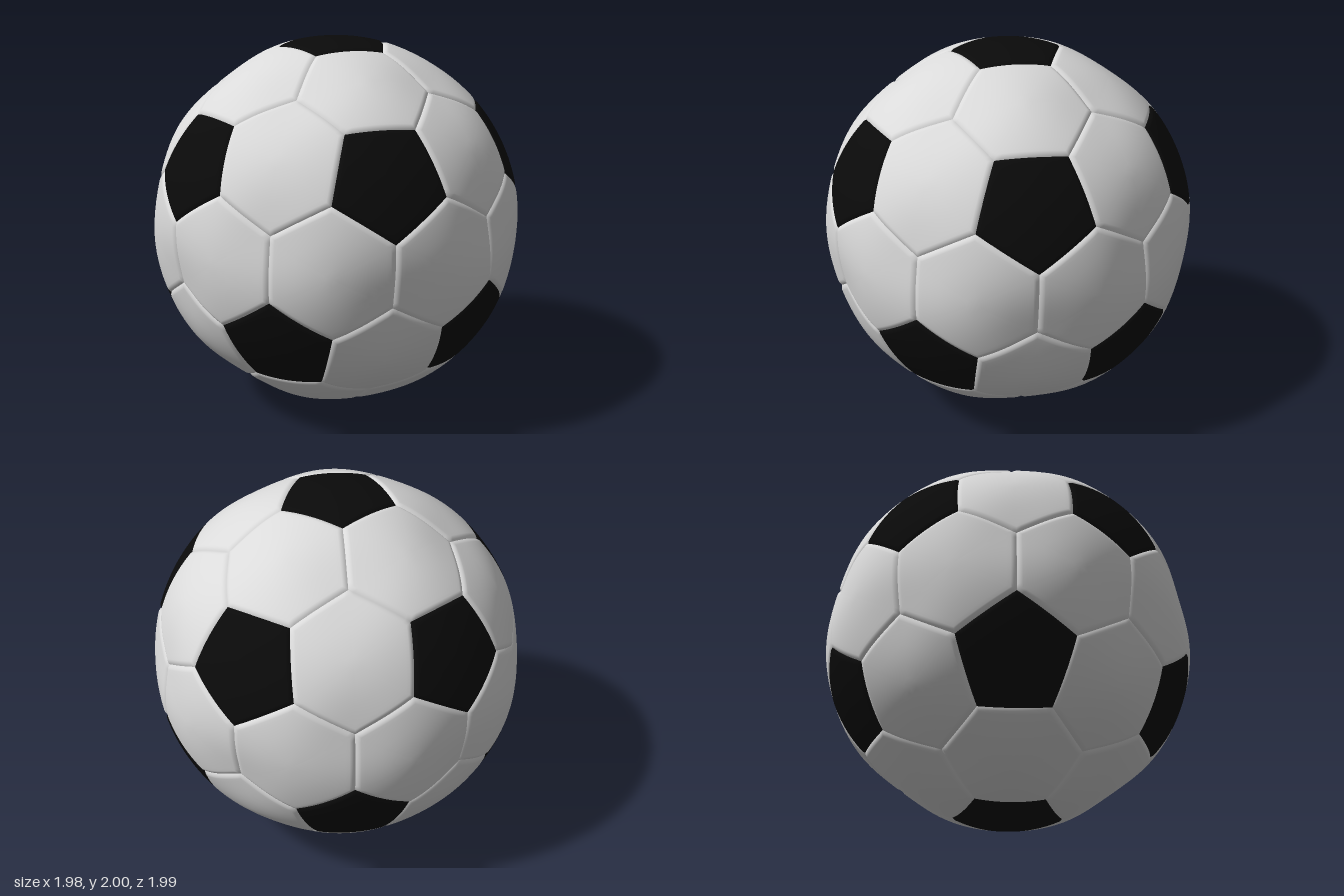
import * as THREE from 'three';

const SEAM_DEPTH = 0.011, SEAM_WIDTH = 0.024, APOTHEM = 0.26;
const PENTAGON_ANGLE = THREE.MathUtils.degToRad(17.9);
const SEGMENTS = 12;
// distances from the seam, as concentric rings running inward
const RINGS = [0, 0.003, 0.007, 0.012, 0.018, 0.024, 0.04, 0.07, 0.11, 0.15, 0.19, 0.23];

// twelve pentagon centres: two poles and two staggered rings of five
function pentagonCentres() {
  const list = [new THREE.Vector3(0, 1, 0), new THREE.Vector3(0, -1, 0)];
  const y = 1 / Math.sqrt(5), r = 2 / Math.sqrt(5);
  for (let i = 0; i < 5; i++) {
    const a = i * Math.PI * 0.4, b = a + Math.PI / 5;
    list.push(new THREE.Vector3(r * Math.cos(a), y, r * Math.sin(a)));
    list.push(new THREE.Vector3(r * Math.cos(b), -y, r * Math.sin(b)));
  }
  return list;
}

const adjacent = (a, b) => Math.abs(a.dot(b) - 1 / Math.sqrt(5)) < 0.01;

// points where three hexagons meet
function hexagonJunctions(c) {
  const list = [];
  for (let i = 0; i < 12; i++)
    for (let j = i + 1; j < 12; j++)
      for (let k = j + 1; k < 12; k++)
        if (adjacent(c[i], c[j]) && adjacent(c[j], c[k]) && adjacent(c[i], c[k]))
          list.push(c[i].clone().add(c[j]).add(c[k]).normalize());
  return list;
}

// corner of the pentagon around centre c, pointing at junction j
function pentagonCorner(c, j) {
  const tangent = j.clone().addScaledVector(c, -j.dot(c)).normalize();
  return c.clone().multiplyScalar(Math.cos(PENTAGON_ANGLE)).addScaledVector(tangent, Math.sin(PENTAGON_ANGLE));
}

// domed panel with its border sunk into the seam
function panelGeometry(centre, corners, junctions) {
  const u = corners[0].clone().addScaledVector(centre, -corners[0].dot(centre)).normalize();
  const v = centre.clone().cross(u);
  const angle = (p) => Math.atan2(p.dot(v), p.dot(u));
  const ordered = [...corners].sort((a, b) => angle(a) - angle(b));
  const count = ordered.length * SEGMENTS;
  const positions = [], index = [];

  const addPoint = (p, distance) => {
    p.normalize();
    let radius = 1;
    // the ball is slightly flatter around the hexagon junctions
    for (const j of junctions) radius -= 0.027 * Math.exp(-((p.angleTo(j) / 0.227) ** 2));
    const s = Math.max(0, 1 - distance / SEAM_WIDTH);
    radius -= SEAM_DEPTH * s * s;
    positions.push(p.x * radius, p.y * radius, p.z * radius);
  };

  for (const d of RINGS)
    for (let i = 0; i < count; i++) {
      const side = Math.floor(i / SEGMENTS);
      const edge = ordered[side].clone().lerp(ordered[(side + 1) % ordered.length], (i % SEGMENTS) / SEGMENTS);
      addPoint(edge.lerp(centre, d / APOTHEM), d);
    }
  addPoint(centre.clone(), 1);

  const last = RINGS.length - 1, middle = RINGS.length * count;
  for (let i = 0; i < count; i++) {
    const n = (i + 1) % count;
    for (let r = 0; r < last; r++) {
      const a = r * count + i, b = r * count + n;
      index.push(a, b, b + count, a, b + count, a + count);
    }
    index.push(last * count + i, last * count + n, middle);
  }

  const geometry = new THREE.BufferGeometry();
  geometry.setAttribute('position', new THREE.Float32BufferAttribute(positions, 3));
  geometry.setIndex(index);
  geometry.computeVertexNormals();
  return geometry;
}

export function createModel() {
  const black = new THREE.MeshStandardMaterial({ color: 0x0a0a0a });
  black.name = 'black';
  const white = new THREE.MeshStandardMaterial({ color: 0xdadada });
  white.name = 'white';

  const ball = new THREE.Group();
  ball.name = 'ball';
  const centres = pentagonCentres();
  const junctions = hexagonJunctions(centres);
  const near = (c) => junctions.filter((j) => j.dot(c) > 0.7);

  const addPanel = (name, centre, corners, material) => {
    const mesh = new THREE.Mesh(panelGeometry(centre, corners, junctions), material);
    mesh.name = name;
    ball.add(mesh);
  };

  // black pentagons
  for (const c of centres) addPanel('pentagonPanel', c, near(c).map((j) => pentagonCorner(c, j)), black);

  // white hexagons, one between each pair of neighbouring pentagons
  for (let i = 0; i < 12; i++)
    for (let k = i + 1; k < 12; k++) {
      const a = centres[i], b = centres[k];
      if (!adjacent(a, b)) continue;
      const shared = near(a).filter((j) => j.dot(b) > 0.7);
      const corners = shared.flatMap((j) => [j, pentagonCorner(a, j), pentagonCorner(b, j)]);
      addPanel('hexagonPanel', a.clone().add(b).normalize(), corners, white);
    }

  ball.position.y = 1;
  const model = new THREE.Group();
  model.name = 'footBall';
  model.add(ball);
  return model;
}
